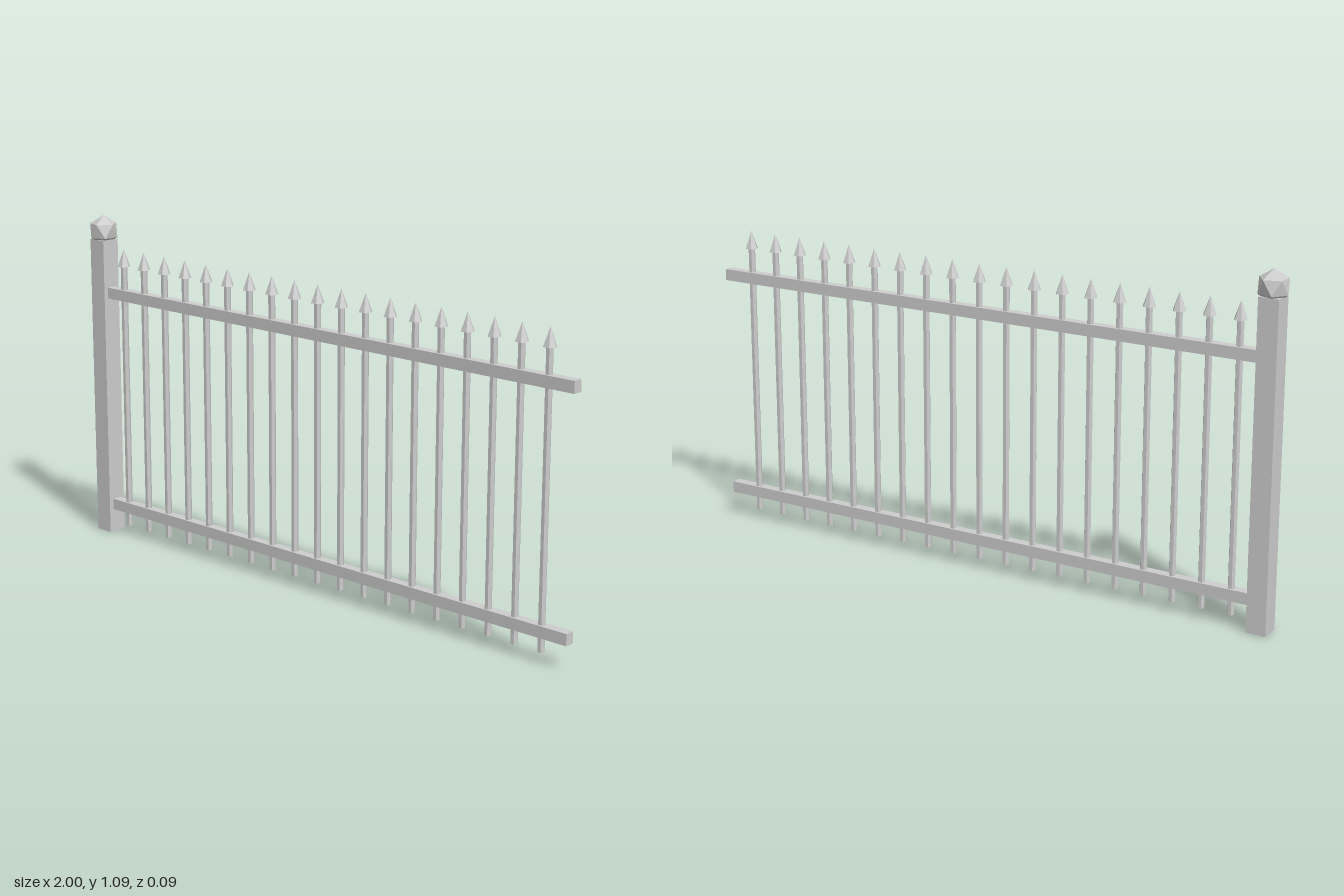
import * as THREE from 'three';

const POST_X = -0.955;

// Twenty-sided ball standing on a corner, with one upper-ring corner towards +x
function finialGeometry(r) {
  const points = [0, r, 0];
  for (const [level, turn] of [[1, 0], [-1, Math.PI / 5]]) {
    for (let i = 0; i < 5; i++) {
      const a = turn + (i * Math.PI * 2) / 5;
      points.push(0.8944 * r * Math.cos(a), 0.4472 * r * level, -0.8944 * r * Math.sin(a));
    }
  }
  points.push(0, -r, 0);
  const faces = [];
  for (let i = 0; i < 5; i++) {
    const j = (i + 1) % 5;
    faces.push(0, 1 + i, 1 + j);
    faces.push(1 + i, 6 + i, 1 + j);
    faces.push(1 + j, 6 + i, 6 + j);
    faces.push(11, 6 + j, 6 + i);
  }
  const indexed = new THREE.BufferGeometry();
  indexed.setAttribute('position', new THREE.Float32BufferAttribute(points, 3));
  indexed.setIndex(faces);
  const flat = indexed.toNonIndexed();
  flat.computeVertexNormals();
  return flat;
}

export function createModel() {
  const fence = new THREE.Group();
  fence.name = 'fence';
  const metal = new THREE.MeshStandardMaterial({ color: 0xcccccc });
  metal.name = 'grey metal';
  metal.flatShading = true;

  const add = (name, geometry, x, y) => {
    const mesh = new THREE.Mesh(geometry, metal);
    mesh.name = name;
    mesh.position.set(x, y, 0);
    fence.add(mesh);
  };

  // End post and its faceted ball
  add('post', new THREE.BoxGeometry(0.064, 1.014, 0.064), POST_X, 0.507);
  add('postFinial', finialGeometry(0.051), POST_X, 1.043);

  // Two rails running from the post to the open end
  const railStart = POST_X + 0.02;
  const rail = new THREE.BoxGeometry(1 - railStart, 0.037, 0.032);
  add('lowerRail', rail, (1 + railStart) / 2, 0.098);
  add('upperRail', rail, (1 + railStart) / 2, 0.836);

  // Six-sided pickets with spear points
  const picket = new THREE.CylinderGeometry(0.0113, 0.0113, 0.902, 6).rotateY(Math.PI / 6);
  const spear = new THREE.ConeGeometry(0.0213, 0.058, 6).rotateY(Math.PI / 6);
  for (let i = 0; i < 19; i++) {
    const x = -0.858 + i * 0.0977;
    add('picket', picket, x, 0.484);
    add('spearPoint', spear, x, 0.962);
  }
  return fence;
}
